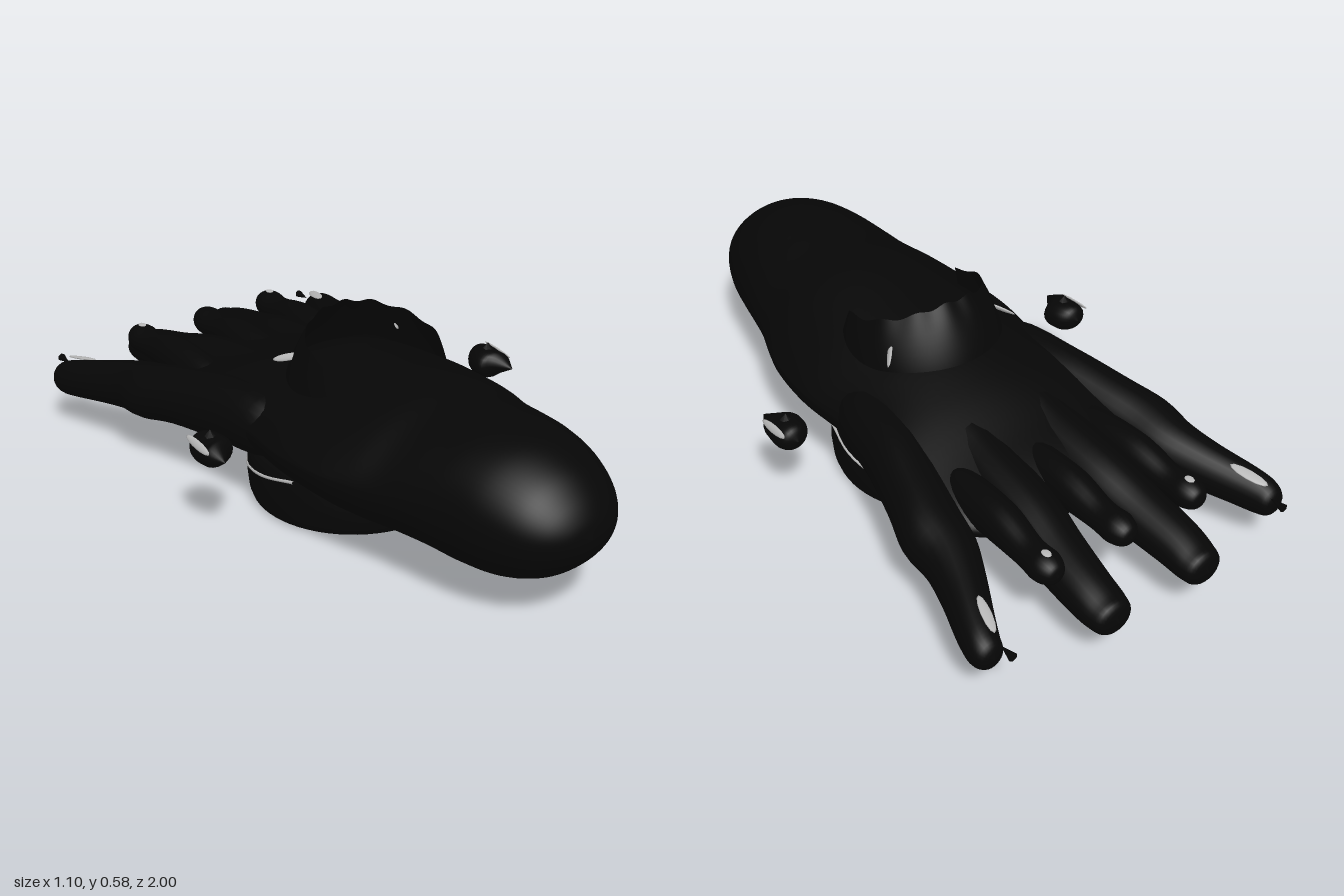
import * as THREE from 'three';

const black = new THREE.MeshStandardMaterial({ color: 0x060606, side: THREE.DoubleSide });
black.name = 'black';
const grey = new THREE.MeshStandardMaterial({ color: 0xb8b8b8 });
grey.name = 'light grey';

// Smooth skin through sections [x, y, z, halfWidth, halfHeight, shoulderSlope], from front to back
function loft(sections, steps = 48, sides = 32) {
  const centre = new THREE.CatmullRomCurve3(sections.map(s => new THREE.Vector3(s[0], s[1], s[2])), false, 'catmullrom');
  const radius = new THREE.CatmullRomCurve3(sections.map(s => new THREE.Vector3(s[3], s[4], s[5] ?? 1)), false, 'catmullrom');
  const pos = [], index = [];
  for (let i = 0; i <= steps; i++) {
    const c = centre.getPoint(i / steps), r = radius.getPoint(i / steps);
    for (let k = 0; k < sides; k++) {
      const a = k / sides * Math.PI * 2, s = Math.sin(a);
      const height = s > 0 ? Math.pow(s, r.z) : s;
      pos.push(c.x + Math.max(r.x, 0) * Math.cos(a), c.y + Math.max(r.y, 0) * height, c.z);
      if (i === steps) continue;
      const a0 = i * sides + k, a1 = i * sides + (k + 1) % sides;
      index.push(a0, a0 + sides, a1, a1, a0 + sides, a1 + sides);
    }
  }
  const g = new THREE.BufferGeometry();
  g.setAttribute('position', new THREE.Float32BufferAttribute(pos, 3));
  g.setIndex(index);
  g.computeVertexNormals();
  return g;
}

export function createModel() {
  const model = new THREE.Group();
  model.name = 'model';
  const add = (name, geometry, material = black) => {
    const mesh = new THREE.Mesh(geometry, material);
    mesh.name = name;
    model.add(mesh);
    return mesh;
  };
  // Thin pale fleck lying on a surface
  const addFleck = (name, size, position, rotation) => {
    const fleck = add(name, new THREE.SphereGeometry(1, 12, 8), grey);
    fleck.scale.set(...size);
    fleck.position.set(...position);
    fleck.rotation.set(...rotation);
  };

  // Rounded body with sloping shoulders that flattens into the palm behind
  add('body', loft([
    [0, 0.29, 1, 0, 0], [0, 0.29, 0.985, 0.075, 0.05], [0, 0.29, 0.95, 0.135, 0.1],
    [0, 0.29, 0.89, 0.185, 0.15], [0, 0.29, 0.8, 0.225, 0.187], [0, 0.29, 0.7, 0.25, 0.2],
    [0, 0.29, 0.6, 0.273, 0.197, 1.1], [0, 0.287, 0.5, 0.297, 0.196, 1.25], [0, 0.29, 0.4, 0.334, 0.2, 1.5],
    [0, 0.29, 0.3, 0.362, 0.195, 1.7], [0, 0.287, 0.15, 0.375, 0.178, 1.6], [0, 0.28, 0, 0.36, 0.165, 1.4],
    [0, 0.275, -0.1, 0.355, 0.155, 1.3], [0, 0.265, -0.25, 0.37, 0.125, 1.1], [0, 0.245, -0.4, 0.36, 0.095],
    [0, 0.23, -0.52, 0.33, 0.075], [0, 0.22, -0.6, 0.24, 0.05], [0, 0.22, -0.65, 0, 0],
  ], 90, 64));

  // Fingers: outer, long inner and short pairs, plus a short middle one
  const fingers = {
    outerFinger: [
      [0.25, 0.27, 0.1, 0, 0], [0.27, 0.27, 0, 0.08, 0.085], [0.3, 0.265, -0.2, 0.09, 0.1],
      [0.345, 0.25, -0.38, 0.092, 0.09], [0.378, 0.23, -0.5, 0.096, 0.088], [0.388, 0.215, -0.6, 0.085, 0.08],
      [0.42, 0.198, -0.7, 0.072, 0.072], [0.465, 0.18, -0.81, 0.06, 0.063], [0.485, 0.17, -0.87, 0.05, 0.056],
      [0.487, 0.167, -0.905, 0.035, 0.038], [0.487, 0.167, -0.918, 0, 0],
    ],
    innerFinger: [
      [0.11, 0.27, -0.1, 0, 0], [0.11, 0.27, -0.2, 0.09, 0.1], [0.12, 0.25, -0.4, 0.095, 0.095],
      [0.13, 0.225, -0.6, 0.093, 0.09], [0.145, 0.2, -0.75, 0.083, 0.075], [0.155, 0.18, -0.88, 0.073, 0.065],
      [0.155, 0.168, -0.95, 0.066, 0.054], [0.155, 0.165, -0.985, 0.05, 0.045], [0.155, 0.165, -1, 0, 0],
    ],
    shortFinger: [
      [0.23, 0.24, -0.3, 0, 0], [0.23, 0.25, -0.4, 0.05, 0.06], [0.235, 0.27, -0.6, 0.056, 0.062],
      [0.242, 0.263, -0.74, 0.045, 0.045], [0.245, 0.265, -0.81, 0.048, 0.045], [0.245, 0.265, -0.85, 0.03, 0.03],
      [0.245, 0.265, -0.862, 0, 0],
    ],
  };
  const middle = fingers.shortFinger.map(([, y, z, rx, ry]) => [0, y, z, rx, ry]);
  add('middleFinger', loft(middle, 32, 20));
  for (const side of [-1, 1]) {
    const label = side > 0 ? 'left ' : 'right ';
    for (const [name, sections] of Object.entries(fingers))
      add(label + name, loft(sections.map(([x, ...rest]) => [side * x, ...rest]), 40, 24));

    // Pale flecks on the fingertips, pod and hood
    addFleck(label + 'fingertipFleck', [0.016, 0.0045, 0.06], [side * 0.452, 0.239, -0.835], [-0.16, -side * 0.3, side * 0.2]);
    addFleck(label + 'shortFingerFleck', [0.012, 0.003, 0.016], [side * 0.245, 0.31, -0.81], [0, 0, 0]);
    addFleck(label + 'podFleck', [0.0045, 0.012, 0.06], [side * 0.541, 0.312, 0.02], [0.1, 0, side * 0.6]);
    addFleck(label + 'hoodFleck', [0.0045, 0.011, 0.05], [side * 0.193, 0.46, -0.045], [-0.35, -side * 0.65, side * 0.4]);

    // Tiny spike beyond the outer fingertip
    const spike = add(label + 'fingertipSpike', new THREE.ConeGeometry(0.013, 0.05, 6));
    spike.position.set(side * 0.465, 0.2, -0.935);
    spike.rotation.x = Math.PI / 2;

    // Floating side pod, pointed at the front
    add(label + 'pod', loft([
      [side * 0.515, 0.29, 0.12, 0, 0], [side * 0.51, 0.29, 0.07, 0.035, 0.03],
      [side * 0.496, 0.285, 0.045, 0.052, 0.043], [side * 0.498, 0.286, 0, 0.052, 0.045],
      [side * 0.502, 0.29, -0.03, 0.035, 0.033], [side * 0.502, 0.29, -0.046, 0, 0],
    ], 28, 20));
    const tuft = add(label + 'podTuft', new THREE.ConeGeometry(0.025, 0.03, 6));
    tuft.position.set(side * 0.5, 0.333, 0.02);

    // Pale seam around the flank of the base
    const seam = [1.2, 1.6, 2, 2.4, 2.75].map((a, i) =>
      new THREE.Vector3(side * 0.314 * Math.sin(a), 0.155 - i * 0.024, 0.314 * Math.cos(a)));
    add(label + 'baseSeam', new THREE.TubeGeometry(new THREE.CatmullRomCurve3(seam), 24, 0.0048, 6), grey);
  }

  // Hood collar: slightly ragged shell leaning inward, tallest at the back
  const hood = new THREE.PlaneGeometry(1, 1, 72, 8);
  const p = hood.attributes.position;
  for (let i = 0; i < p.count; i++) {
    const v = p.getY(i) + 0.5;
    const a = p.getX(i) * Math.PI * 1.3;
    const back = (1 + Math.cos(a)) / 2;
    const ragged = 0.005 * Math.sin(a * 11) * v * v;
    const top = 0.46 + 0.112 * back + ragged;
    const r = 0.242 - (0.025 + 0.075 * back * back) * Math.pow(v, 1.6);
    p.setXYZ(i, r * Math.sin(a), 0.35 + (top - 0.35) * v, 0.07 - r * Math.cos(a));
  }
  hood.computeVertexNormals();
  add('hoodCollar', hood);

  // Round base with a softened lower edge
  add('base', new THREE.LatheGeometry([
    [0, 0.01], [0.2, 0.006], [0.285, 0], [0.302, 0.008], [0.31, 0.03], [0.315, 0.08], [0.313, 0.14], [0.3, 0.18], [0, 0.2],
  ].map(([x, y]) => new THREE.Vector2(x, y)), 64));

  return model;
}
